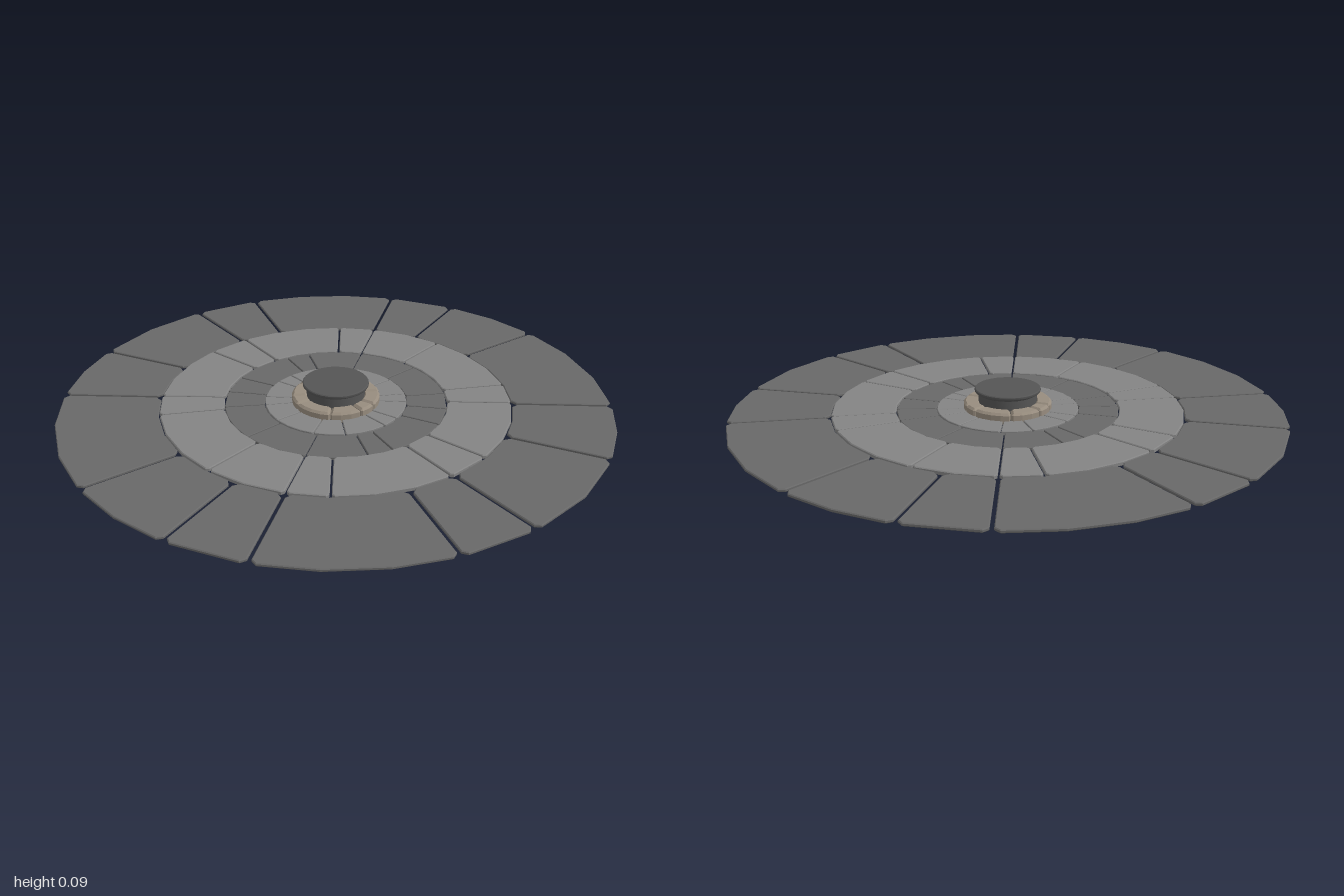
import * as THREE from 'three';
import { toCreasedNormals } from 'three/addons/utils/BufferGeometryUtils.js';

const RAD = Math.PI / 180;

// Replace each sharp corner of an outline by a short cut
function cutCorners(points, corners, size) {
  const out = [];
  points.forEach((p, i) => {
    if (!corners.includes(i)) { out.push(p); return; }
    const prev = points[(i + points.length - 1) % points.length];
    const next = points[(i + 1) % points.length];
    for (const q of [prev, next]) {
      out.push(p.clone().add(q.clone().sub(p).setLength(size)));
    }
  });
  return out;
}

// One paving stone: a faceted ring sector with parallel joints and bevelled edges
function stoneGeometry({ inner, outer, gap, cut, bevel, height, step }, a0, a1) {
  const segs = Math.max(1, Math.round((a1 - a0) / step));
  const arc = (r) => {
    const inset = gap / 2 / r;
    const s = a0 * RAD + inset, e = a1 * RAD - inset;
    return Array.from({ length: segs + 1 }, (_, i) => {
      const a = s + (e - s) * i / segs;
      return new THREE.Vector2(r * Math.cos(a), -r * Math.sin(a));
    });
  };
  const points = [...arc(outer), ...arc(inner).reverse()];
  const corners = [0, segs, segs + 1, 2 * segs + 1];
  const geometry = new THREE.ExtrudeGeometry(new THREE.Shape(cutCorners(points, corners, cut)), {
    depth: height - 2 * bevel,
    bevelEnabled: true, bevelSegments: 1,
    bevelThickness: bevel, bevelSize: bevel, bevelOffset: -bevel,
  });
  geometry.translate(0, 0, bevel);
  geometry.rotateX(-Math.PI / 2);
  return geometry;
}

// A full ring; the joint angles cover half a turn and repeat on the other half
function stoneRing(name, color, spec) {
  const ring = new THREE.Group();
  ring.name = name;
  const material = new THREE.MeshStandardMaterial({ color, flatShading: true });
  const joints = [...spec.joints, ...spec.joints.map((a) => a + 180)];
  joints.forEach((a, i) => {
    const end = i + 1 < joints.length ? joints[i + 1] : joints[0] + 360;
    const stone = new THREE.Mesh(stoneGeometry(spec, a, end), material);
    stone.name = name + 'Stone';
    ring.add(stone);
  });
  return ring;
}

export function createModel() {
  const model = new THREE.Group();
  model.name = 'pavedCircle';

  // Four flat paving rings, alternating dark and light
  model.add(stoneRing('outerPaving', 0x686868, {
    inner: 0.64, outer: 1, gap: 0.013, cut: 0.018, bevel: 0.003, height: 0.012, step: 12,
    joints: [6.4, 45, 67, 96, 111.5, 147, 163],
  }));
  model.add(stoneRing('middlePaving', 0x848484, {
    inner: 0.406, outer: 0.637, gap: 0.007, cut: 0.01, bevel: 0.003, height: 0.016, step: 12,
    joints: [32, 45, 82, 97, 134, 147, 173],
  }));
  model.add(stoneRing('darkInnerPaving', 0x686868, {
    inner: 0.26, outer: 0.404, gap: 0.005, cut: 0.005, bevel: 0.002, height: 0.012, step: 12,
    joints: [1, 35, 52, 69, 104, 117, 147],
  }));
  model.add(stoneRing('lightInnerPaving', 0x848484, {
    inner: 0.155, outer: 0.258, gap: 0.004, cut: 0.004, bevel: 0.002, height: 0.016, step: 12,
    joints: [5, 33, 47, 76, 91, 125, 150],
  }));

  // Raised kerb of pale stones around the pedestal
  model.add(stoneRing('kerb', 0x978c7e, {
    inner: 0.103, outer: 0.16, gap: 0.003, cut: 0.006, bevel: 0.008, height: 0.043, step: 14,
    joints: [12, 35, 74, 98, 140],
  }));

  // Round pedestal with a flared cap
  const profile = [
    [0, 0], [0.106, 0], [0.106, 0.07], [0.11, 0.075], [0.118, 0.077],
    [0.12, 0.08], [0.12, 0.087], [0.117, 0.09], [0, 0.09],
  ].map(([r, y]) => new THREE.Vector2(r, y));
  const pedestal = new THREE.Mesh(
    toCreasedNormals(new THREE.LatheGeometry(profile, 32), 35 * RAD),
    new THREE.MeshStandardMaterial({ color: 0x555555 }),
  );
  pedestal.name = 'pedestal';
  model.add(pedestal);

  return model;
}
